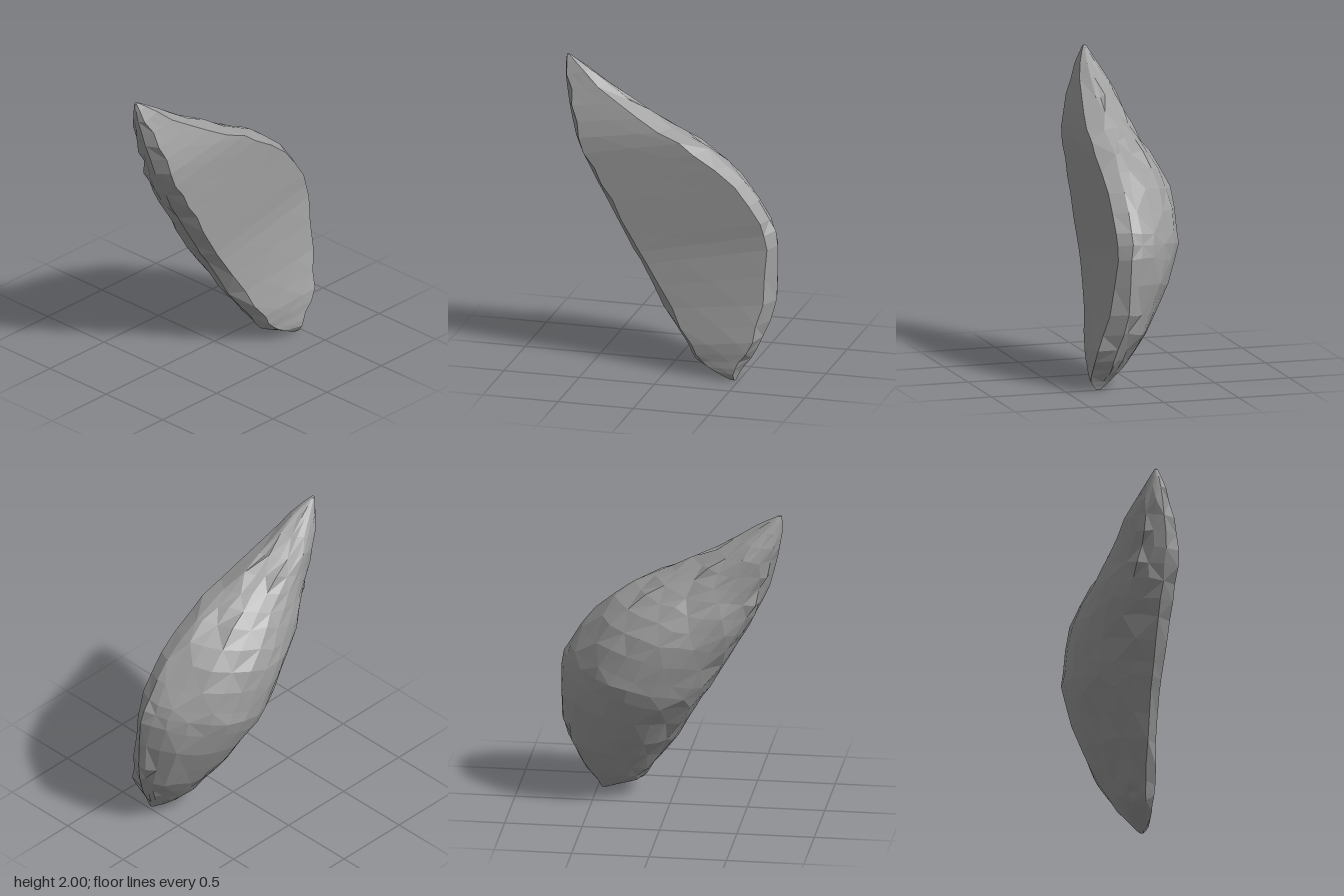
import * as THREE from 'three';

// Key sections across the long axis:
// front z, y; back z, y; dome x, rim x, face x at front, face x at back
const KEYS = [
  [-0.44, 0.00, -0.48, 0.00, 0.25, 0.27, 0.28, 0.29],
  [-0.32, 0.05, -0.50, 0.05, 0.17, 0.25, 0.29, 0.33],
  [-0.20, 0.10, -0.56, 0.14, 0.09, 0.22, 0.27, 0.33],
  [-0.13, 0.20, -0.64, 0.28, 0.00, 0.19, 0.27, 0.32],
  [0.03, 0.42, -0.715, 0.52, -0.15, 0.15, 0.23, 0.255],
  [0.20, 0.69, -0.71, 0.88, -0.30, 0.12, 0.20, 0.20],
  [0.29, 0.84, -0.66, 1.05, -0.33, 0.11, 0.195, 0.20],
  [0.43, 1.10, -0.49, 1.28, -0.33, 0.10, 0.195, 0.20],
  [0.55, 1.30, -0.24, 1.48, -0.26, 0.09, 0.19, 0.20],
  [0.64, 1.50, 0.00, 1.60, -0.19, 0.08, 0.185, 0.18],
  [0.69, 1.70, 0.29, 1.75, -0.15, 0.05, 0.135, 0.125],
  [0.725, 1.88, 0.56, 1.92, -0.07, 0.02, 0.06, 0.06],
  [0.725, 2.00, 0.70, 2.00, -0.02, -0.01, 0.00, 0.00],
];
const ROWS = (KEYS.length - 1) * 2 + 1;
const DOME = 12; // segments round the domed side
const FACE = 4; // segments across the flat side

// Key section, or the smooth blend halfway between two of them
function section(row) {
  const i = Math.floor(row / 2);
  if (row % 2 === 0) return KEYS[i];
  const before = KEYS[Math.max(i - 1, 0)];
  const after = KEYS[Math.min(i + 2, KEYS.length - 1)];
  return KEYS[i].map((v, c) => (9 * (v + KEYS[i + 1][c]) - before[c] - after[c]) / 16);
}

// Small seeded noise for chipped facets
function makeNoise(seed) {
  return () => {
    seed = (seed * 16807) % 2147483647;
    return (seed / 2147483647) * 2 - 1;
  };
}

function stoneGeometry() {
  const { lerp } = THREE.MathUtils;
  const noise = makeNoise(77);
  const positions = [];
  const index = [];
  const count = DOME + 1 + FACE + 1;

  for (let row = 0; row < ROWS; row++) {
    const [zF, yF, zB, yB, xMin, rim, faceF, faceB] = section(row);
    const width = Math.hypot(zF - zB, yF - yB);
    const inner = row > 3 && row < ROWS - 2;
    const chip = inner ? Math.min(0.014, width * 0.025) : 0;
    // Domed side, front rim to back rim: full at the front, leaner at the back
    for (let j = 0; j <= DOME; j++) {
      const t = (Math.PI * j) / DOME;
      const k = (1 - Math.cos(t)) / 2;
      const bulge = Math.pow(Math.abs(Math.sin(t)), k < 0.5 ? 0.9 : 1.4);
      const rough = j > 0 && j < DOME ? chip : chip * 0.5;
      positions.push(
        lerp(rim, xMin, bulge) + noise() * rough * (1 - 0.6 * bulge),
        lerp(yF, yB, k) + noise() * rough,
        lerp(zF, zB, k) + noise() * rough,
      );
    }
    // Flat side, back to front, set in from the rim by an uneven bevel
    const inset = Math.min(0.055 / width, 0.15);
    const uneven = inner ? 0.35 : 0;
    const from = 1 - inset * (1 + noise() * uneven);
    const to = inset * (1 + noise() * uneven);
    for (let j = 0; j <= FACE; j++) {
      const k = lerp(from, to, j / FACE);
      positions.push(lerp(faceF, faceB, k), lerp(yF, yB, k), lerp(zF, zB, k));
    }
  }

  // Skin between neighbouring sections, alternating the diagonals
  for (let i = 0; i < ROWS - 1; i++) {
    for (let j = 0; j < count; j++) {
      const a = i * count + j;
      const b = i * count + ((j + 1) % count);
      const c = a + count;
      const d = b + count;
      if ((i + j) % 2) index.push(a, c, b, b, c, d);
      else index.push(a, d, b, a, c, d);
    }
  }
  // Small end caps
  const top = (ROWS - 1) * count;
  for (let j = 1; j < count - 1; j++) {
    index.push(0, j, j + 1);
    index.push(top, top + j + 1, top + j);
  }

  const indexed = new THREE.BufferGeometry();
  indexed.setAttribute('position', new THREE.Float32BufferAttribute(positions, 3));
  indexed.setIndex(index);
  const geometry = indexed.toNonIndexed();
  geometry.computeVertexNormals();
  return geometry;
}

export function createModel() {
  const group = new THREE.Group();
  group.name = 'stoneFlake';
  const material = new THREE.MeshStandardMaterial({ color: 0x9f9f9f, flatShading: true });
  const stone = new THREE.Mesh(stoneGeometry(), material);
  stone.name = 'stone';
  group.add(stone);
  return group;
}
